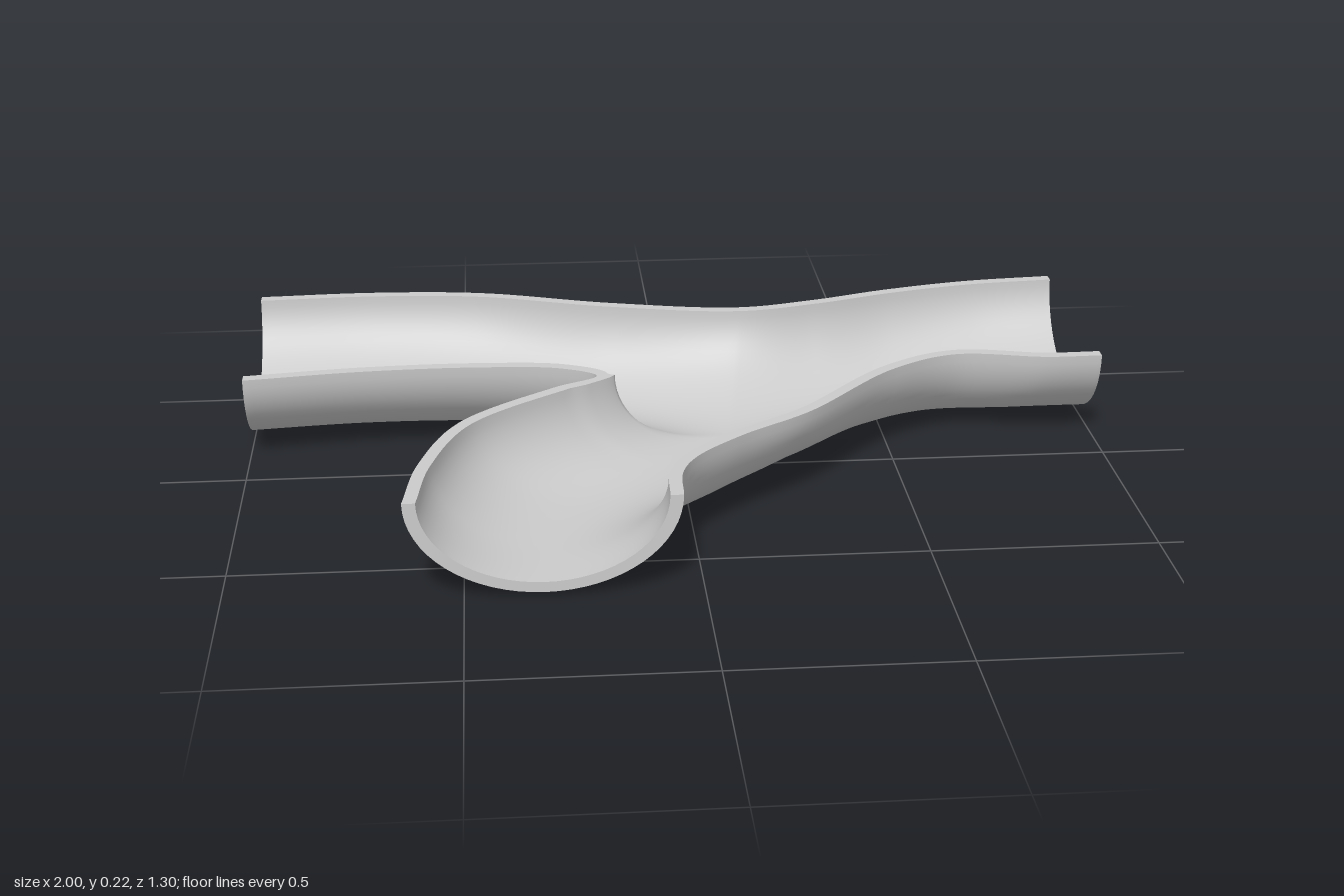
import * as THREE from 'three';
import { mergeGeometries, mergeVertices } from 'three/addons/utils/BufferGeometryUtils.js';

const TOP = 0.22, WALL = 0.028, FLOOR = 0.023;
const ALONG = 112, ACROSS = 16;

const spline = (pts) => new THREE.CatmullRomCurve3(pts.map(([x, z]) => new THREE.Vector3(x, 0, z)));

// Floor lines of the three branches, each running from the junction to its open end
const J = [0.12, -0.13];
const left = spline([J, [-0.14, -0.29], [-0.45, -0.365], [-0.72, -0.375], [-1, -0.352]]);
const right = spline([J, [0.36, -0.25], [0.56, -0.33], [0.78, -0.355], [1, -0.352]]);
const front = spline([J, [-0.02, 0.1], [-0.2, 0.3], [-0.3, 0.48], [-0.333, 0.65]]);

// Outer rim lines; each wall runs from the end of one branch to the end of the next
const strips = [
  { from: left, to: right, wall: spline([[-1, -0.64], [-0.72, -0.65], [-0.45, -0.625], [-0.13, -0.525],
    [0.18, -0.467], [0.37, -0.505], [0.57, -0.57], [0.78, -0.618], [1, -0.64]]) },
  { from: front, to: left, wall: spline([[-0.62, 0.65], [-0.59, 0.45], [-0.5, 0.22], [-0.29, 0.035],
    [-0.19, -0.03], [-0.27, -0.083], [-0.45, -0.105], [-0.72, -0.1], [-1, -0.065]]) },
  { from: right, to: front, wall: spline([[1, -0.065], [0.87, -0.065], [0.66, -0.1], [0.5, -0.02],
    [0.27, 0.225], [0.11, 0.345], [0, 0.455], [-0.037, 0.535], [-0.045, 0.65]]) },
];

// Point on a strip: u along the wall, v from rim (0) to floor line (1), inner 0 = outside, 1 = inside
function pointOn({ from, to, wall }, u, v, inner) {
  const k = Math.abs(2 * u - 1);
  const centre = (u < 0.5 ? from : to).getPoint(k);
  const rim = wall.getPoint(u);
  const dir = centre.clone().sub(rim).normalize();
  const t = wall.getTangent(u);
  const facing = Math.max(0.6, Math.abs(t.x * dir.z - t.z * dir.x));
  rim.addScaledVector(dir, inner * WALL / facing);
  const floor = 0.01 * k * k * (3 - 2 * k) + inner * FLOOR;
  const a = v * Math.PI / 2;
  const p = rim.lerp(centre, 1 - Math.cos(a));
  p.y = TOP - (TOP - floor) * Math.sin(a);
  return p;
}

// Grid surface from a function of (a, b)
function grid(fn, na, nb) {
  const pos = [], idx = [];
  for (let i = 0; i <= na; i++) {
    for (let j = 0; j <= nb; j++) {
      pos.push(...fn(i / na, j / nb).toArray());
      if (i < na && j < nb) {
        const p = i * (nb + 1) + j, q = p + nb + 1;
        idx.push(p, p + 1, q, q, p + 1, q + 1);
      }
    }
  }
  const g = new THREE.BufferGeometry();
  g.setAttribute('position', new THREE.Float32BufferAttribute(pos, 3));
  g.setIndex(idx);
  return g;
}

export function createModel() {
  const model = new THREE.Group();
  model.name = 'forkedChannel';
  const material = new THREE.MeshStandardMaterial({ color: 0xcccccc });

  const add = (name, pieces) => {
    const g = mergeVertices(mergeGeometries(pieces), 1e-5);
    g.computeVertexNormals();
    const mesh = new THREE.Mesh(g, material);
    mesh.name = name;
    model.add(mesh);
  };

  // Smooth trough and its underside
  add('channelInside', strips.map((s) => grid((u, v) => pointOn(s, u, v, 1), ALONG, ACROSS)));
  add('channelOutside', strips.map((s) => grid((u, v) => pointOn(s, u, 1 - v, 0), ALONG, ACROSS)));

  // Flat top edges of the three walls
  add('rim', strips.map((s) => grid((u, w) => pointOn(s, u, 0, w), ALONG, 1)));

  // Thin cut faces at the three open ends
  add('openEnds', strips.flatMap((s) => [
    grid((v, w) => pointOn(s, 0, v, 1 - w), ACROSS, 1),
    grid((v, w) => pointOn(s, 1, v, w), ACROSS, 1),
  ]));

  return model;
}
